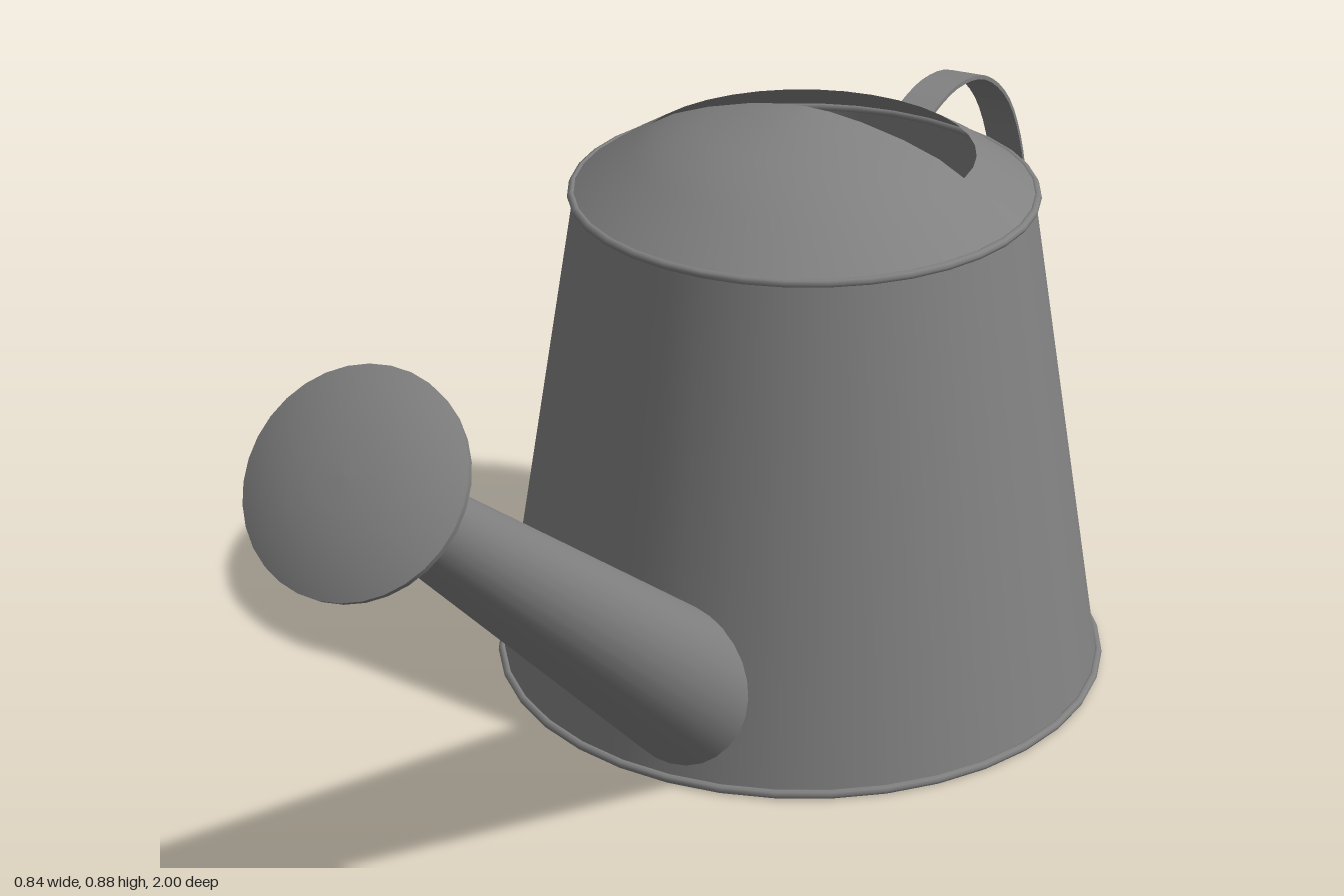
import * as THREE from 'three';

const SIDES = 36;
const CENTER_Z = -0.23;
const metal = new THREE.MeshStandardMaterial({ color: 0x808180, side: THREE.DoubleSide });
metal.name = 'grey metal';

function add(parent, name, geometry) {
  const mesh = new THREE.Mesh(geometry, metal);
  mesh.name = name;
  parent.add(mesh);
  return mesh;
}

// Surface of revolution from [radius, height] pairs
function lathe(pairs, sides = SIDES, start = 0, sweep = Math.PI * 2) {
  return new THREE.LatheGeometry(pairs.map(([r, y]) => new THREE.Vector2(r, y)), sides, start, sweep);
}

// Thin strip following a side-view path of [z, y] points, centred on x = 0
function strap(points, width, thickness) {
  const left = [], right = [];
  points.forEach((p, i) => {
    const a = points[Math.max(i - 1, 0)], b = points[Math.min(i + 1, points.length - 1)];
    const d = new THREE.Vector2().subVectors(b, a).normalize();
    const n = new THREE.Vector2(-d.y, d.x).multiplyScalar(thickness / 2);
    left.push(p.clone().add(n));
    right.unshift(p.clone().sub(n));
  });
  // The shape is drawn with its x axis along -z
  const outline = [...left, ...right].map((p) => new THREE.Vector2(-p.x, p.y));
  const geometry = new THREE.ExtrudeGeometry(new THREE.Shape(outline), { depth: width, bevelEnabled: false });
  geometry.translate(0, 0, -width / 2);
  geometry.rotateY(Math.PI / 2);
  return geometry;
}

function createBody() {
  const body = new THREE.Group();
  body.name = 'body';
  body.position.z = CENTER_Z;
  add(body, 'wall', lathe([[0.412, 0.006], [0.304, 0.68]]));
  add(body, 'floor', new THREE.CircleGeometry(0.414, SIDES).rotateX(Math.PI / 2)).position.y = 0.004;

  // Rolled rims
  for (const [name, radius, y] of [['bottomRim', 0.414, 0.006], ['topRim', 0.306, 0.681]]) {
    add(body, name, new THREE.TorusGeometry(radius, 0.006, 8, SIDES).rotateX(Math.PI / 2)).position.y = y;
  }

  // Domed lid: full skirt at the front, only a low ring around the rear opening
  const skirt = [[0.306, 0.684], [0.265, 0.712], [0.225, 0.736]];
  const dome = [...skirt, [0.19, 0.756], [0.14, 0.774], [0.08, 0.789], [0.035, 0.796], [0, 0.798]];
  add(body, 'lidFront', lathe(dome, SIDES / 2, -Math.PI / 2, Math.PI));
  add(body, 'lidRear', lathe(skirt, SIDES / 2, Math.PI / 2, Math.PI));
  return body;
}

function createSpout() {
  // Local y runs along the spout, with 0 at its neck
  const spout = new THREE.Group();
  spout.name = 'spout';
  spout.position.set(0, 0.697, 0.822);
  spout.rotation.x = Math.atan2(0.765, 0.643);
  add(spout, 'spoutTube', lathe([[0.102, -0.96], [0.046, 0.004]], 28));
  add(spout, 'roseCone', lathe([[0.046, 0], [0.129, 0.112]], 32));
  add(spout, 'roseRim', lathe([[0.129, 0.112], [0.13, 0.122]], 32));
  add(spout, 'roseFace', lathe([[0.13, 0.122], [0.105, 0.133], [0.07, 0.142], [0.035, 0.147], [0, 0.148]], 32));
  return spout;
}

function createHandle() {
  const handle = new THREE.Group();
  handle.name = 'handle';
  const width = 0.054;

  // Round strap
  const bow = new THREE.SplineCurve([
    [-0.548, 0.642], [-0.6, 0.657], [-0.7, 0.668], [-0.81, 0.645], [-0.91, 0.575], [-0.975, 0.47], [-0.995, 0.365],
    [-0.972, 0.26], [-0.91, 0.175], [-0.82, 0.125], [-0.74, 0.113], [-0.635, 0.113],
  ].map(([z, y]) => new THREE.Vector2(z, y)));
  add(handle, 'handleStrap', strap(bow.getPoints(44), width, 0.006));

  // Riveted tabs lying on the wall
  const tabs = [
    ['upperTab', [-0.544, 0.643], [-0.553, 0.592]],
    ['lowerTab', [-0.635, 0.113], [-0.65, 0.014]],
  ];
  for (const [name, a, b] of tabs) {
    add(handle, name, strap([new THREE.Vector2(...a), new THREE.Vector2(...b)], width, 0.01));
    const rivet = add(handle, name + 'Rivet', new THREE.SphereGeometry(0.012, 12, 8));
    rivet.scale.z = 0.6;
    rivet.position.set(0, (a[1] + b[1]) / 2, (a[0] + b[0]) / 2 - 0.005);
  }
  return handle;
}

export function createModel() {
  const model = new THREE.Group();
  model.name = 'wateringCan';
  model.add(createBody(), createSpout(), createHandle());
  return model;
}
